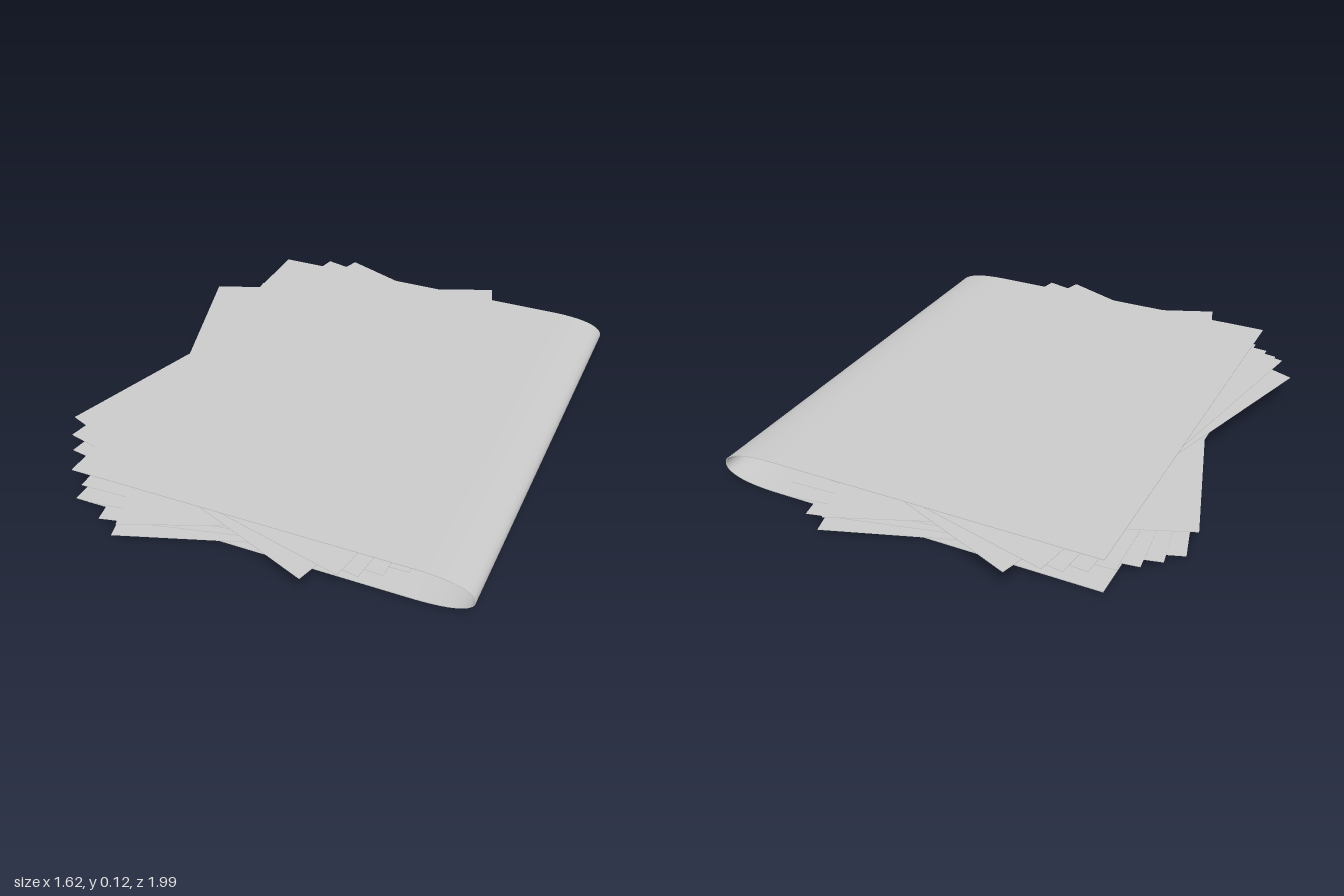
import * as THREE from 'three';
import { toCreasedNormals } from 'three/addons/utils/BufferGeometryUtils.js';

const material = new THREE.MeshStandardMaterial({ color: 0xcccccc, side: THREE.DoubleSide });

// Folded cover: a thin U-shaped section, open at -x, rounded spine at +x
function makeCover() {
  const left = -0.615, bend = 0.6, right = 0.808, height = 0.125, depth = 1.69, t = 0.003;
  const mid = height / 2;
  const section = new THREE.Shape();
  section.moveTo(left, 0);
  section.lineTo(bend, 0);
  section.bezierCurveTo(0.74, 0, right, 0.025, right, mid);
  section.bezierCurveTo(right, height - 0.025, 0.74, height, bend, height);
  section.lineTo(left, height);
  section.lineTo(left, height - t);
  section.lineTo(bend, height - t);
  section.bezierCurveTo(0.74, height - t, right - t, height - 0.026, right - t, mid);
  section.bezierCurveTo(right - t, 0.026, 0.74, t, bend, t);
  section.lineTo(left, t);
  section.closePath();
  const geometry = new THREE.ExtrudeGeometry(section, { depth, bevelEnabled: false, curveSegments: 20 });
  geometry.translate(0, 0, -depth / 2);
  const cover = new THREE.Mesh(toCreasedNormals(geometry, 0.6), material);
  cover.name = 'cover';
  return cover;
}

// Fanned loose sheets: [height, turn in degrees], stretched in z as a group
function makeSheets() {
  const stack = [
    [0.016, 16.5], [0.03, 11.4], [0.043, 6.5], [0.057, 1.6], [0.071, -3.6],
    [0.085, -8.3], [0.09, 19.1], [0.094, -19.1], [0.103, -12.2],
  ];
  const sheets = new THREE.Group();
  sheets.name = 'sheets';
  const geometry = new THREE.BoxGeometry(1.174, 0.002, 1.408);
  stack.forEach(([y, turn], i) => {
    const sheet = new THREE.Mesh(geometry, material);
    sheet.name = `sheet${i + 1}`;
    sheet.position.y = y;
    sheet.rotation.y = THREE.MathUtils.degToRad(turn);
    sheets.add(sheet);
  });
  sheets.position.x = -0.027;
  sheets.scale.z = 1.158;
  return sheets;
}

export function createModel() {
  const model = new THREE.Group();
  model.name = 'folderWithSheets';
  model.add(makeCover(), makeSheets());
  return model;
}
